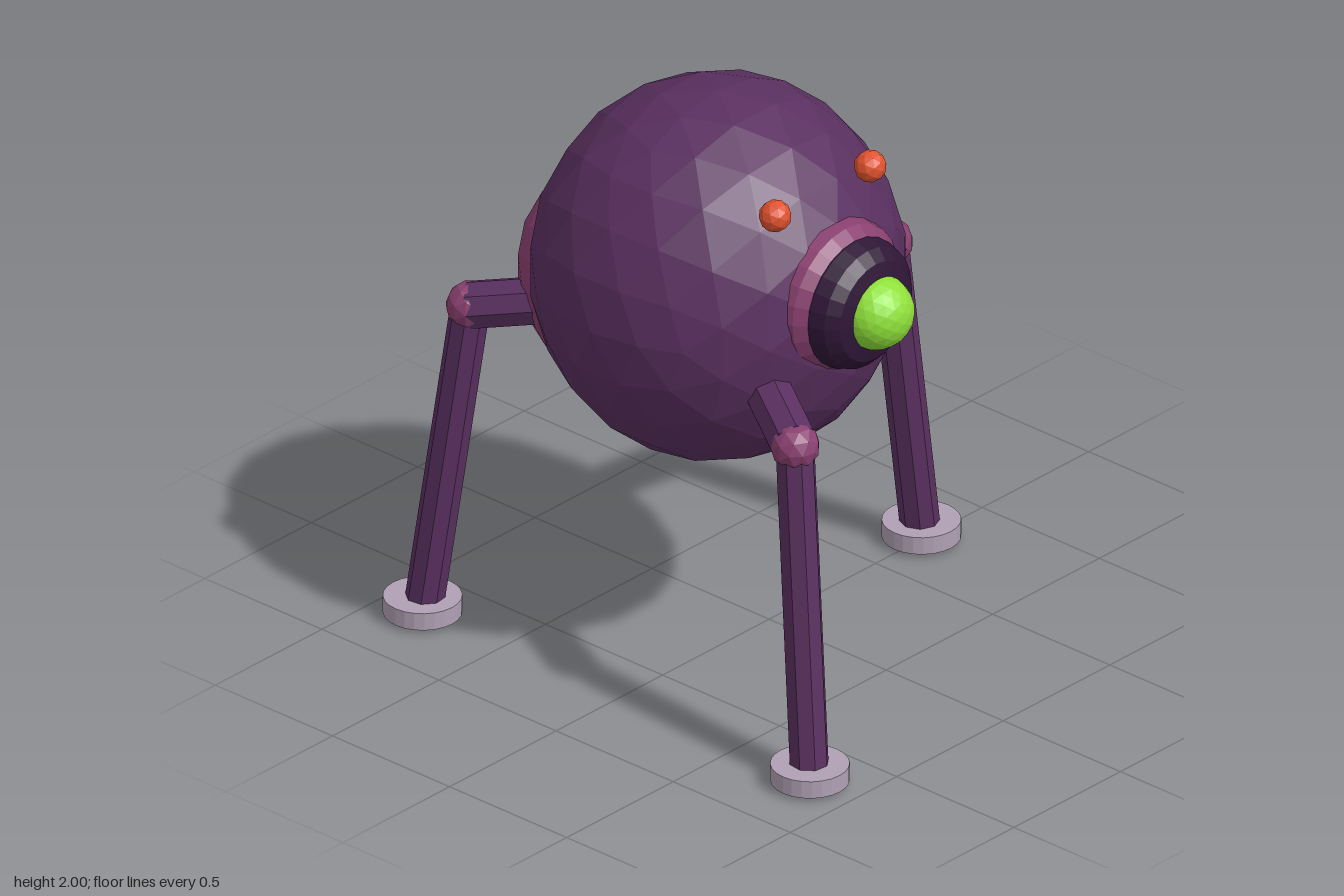
import * as THREE from 'three';

const mat = (color, side = THREE.FrontSide) => new THREE.MeshStandardMaterial({ color, flatShading: true, side });
const SKIN = mat(0x5a3060), PATCH = mat(0x8a4070), FOOT = mat(0xb0a0b4);
const SOCKET = mat(0x2f1636, THREE.DoubleSide), RIM = mat(0x8a4070, THREE.DoubleSide);
const GREEN = mat(0x8fe03a), RED = mat(0xe0522f);

function add(parent, name, geometry, material, x = 0, y = 0, z = 0) {
  const mesh = new THREE.Mesh(geometry, material);
  mesh.name = name;
  mesh.position.set(x, y, z);
  parent.add(mesh);
  return mesh;
}

const ball = (r, detail) => new THREE.IcosahedronGeometry(r, detail);

// Octagonal rod between two points
function rod(parent, name, a, b, r) {
  const dir = b.clone().sub(a);
  const mesh = add(parent, name, new THREE.CylinderGeometry(r, r, dir.length(), 8), SKIN);
  mesh.position.copy(a).addScaledVector(dir, 0.5);
  mesh.quaternion.setFromUnitVectors(new THREE.Vector3(0, 1, 0), dir.normalize());
}

// Turned shape facing +z, from [radius, z] pairs
function turned(points) {
  const profile = points.map(([r, z]) => new THREE.Vector2(r, z));
  return new THREE.LatheGeometry(profile, 24).rotateX(Math.PI / 2);
}

function makeLeg(angle) {
  const leg = new THREE.Group();
  leg.name = 'leg';
  const hip = new THREE.Vector3(0.35, 1.22, 0);
  const knee = new THREE.Vector3(0.8, 1.135, 0);
  const ankle = new THREE.Vector3(0.955, 0.01, 0);
  rod(leg, 'upperLeg', hip, knee, 0.08);
  add(leg, 'knee', ball(0.08, 1), PATCH, knee.x, knee.y, 0);
  rod(leg, 'lowerLeg', knee, ankle, 0.064);
  add(leg, 'foot', new THREE.CylinderGeometry(0.126, 0.126, 0.06, 24), FOOT, 0.955, 0.045, 0);
  leg.rotation.y = angle;
  return leg;
}

export function createModel() {
  const model = new THREE.Group();
  model.name = 'eyeballWalker';
  // The body axis sits off centre, so that the three feet are centred
  const walker = new THREE.Group();
  walker.name = 'walker';
  walker.position.x = -0.24;
  model.add(walker);

  // Body and rear bulge
  add(walker, 'body', ball(0.63, 3), SKIN, 0, 1.37, 0).scale.set(0.952, 1, 0.952);
  add(walker, 'rearBulge', ball(0.4, 3), PATCH, 0, 1.25, -0.32);

  // Main eye: rim, socket and glowing ball
  add(walker, 'eyeRim', turned([[0.24, 0.43], [0.26, 0.49], [0.25, 0.545], [0.215, 0.59], [0, 0.6]]), RIM, 0, 1.45, 0);
  add(walker, 'eyeSocket', turned([[0.2, 0.5], [0.22, 0.56], [0.22, 0.59], [0.205, 0.64], [0.17, 0.675], [0.12, 0.688], [0, 0.688]]),
    SOCKET, 0, 1.45, 0);
  add(walker, 'eyeBall', ball(0.123, 3), GREEN, 0, 1.45, 0.675);

  // Small upper eyes
  for (const s of [-1, 1]) add(walker, 'smallEye', ball(0.053, 1), RED, s * 0.223, 1.8, 0.447);

  // Three legs around the body
  for (let i = 0; i < 3; i++) walker.add(makeLeg((i * Math.PI * 2) / 3));

  return model;
}
